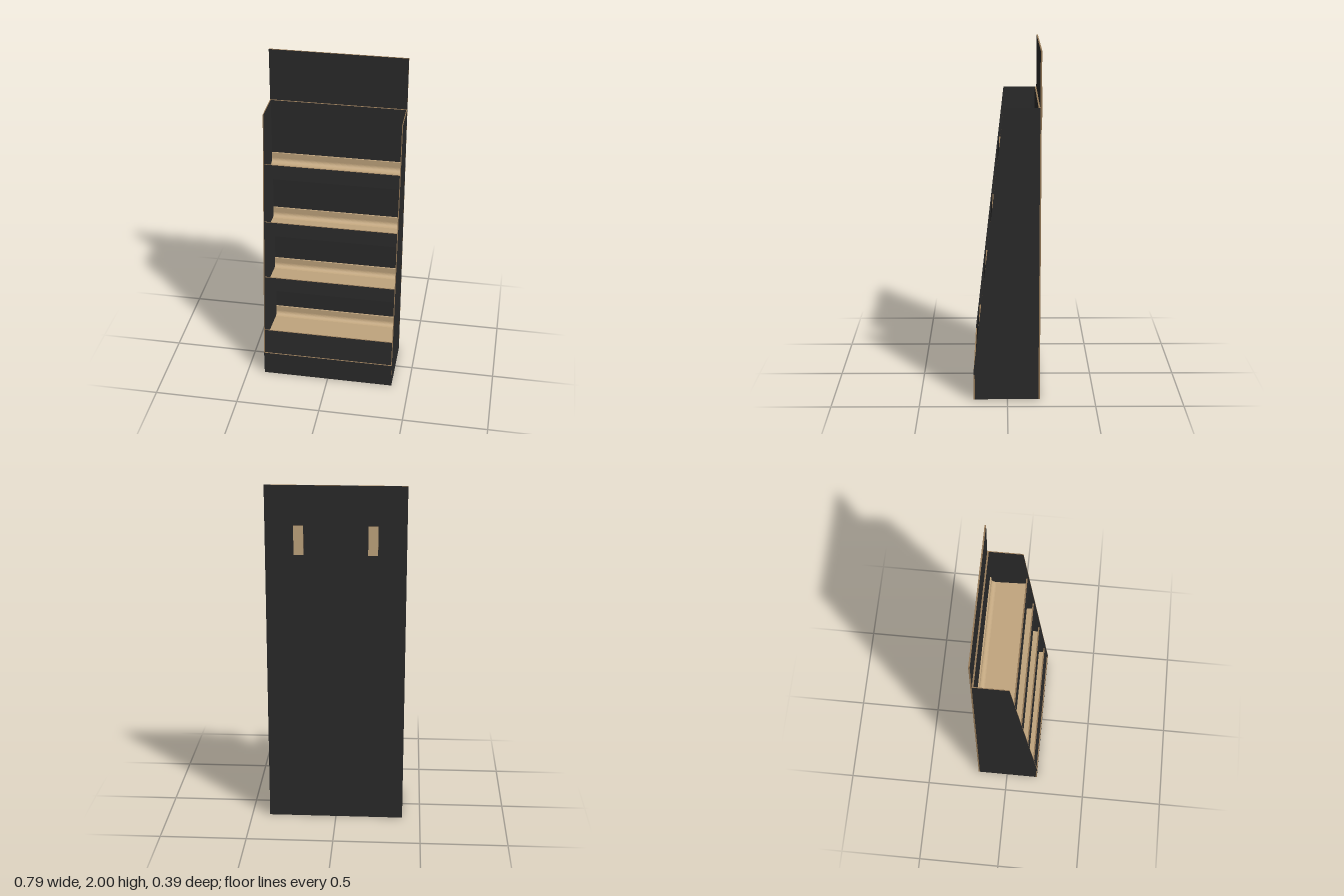
import * as THREE from 'three';

const mat = (name, color) => {
  const m = new THREE.MeshStandardMaterial({ color });
  m.name = name;
  return m;
};

export function createModel() {
  const black = mat('blackPrint', 0x2b2b2b);
  const kraft = mat('kraftBoard', 0xc4a880);
  const edge = mat('cutEdge', 0x967a58);
  const group = new THREE.Group();
  const inner = 0.39, outer = 0.395, t = 0.008;

  // Box given by min/max corners; faces ordered +x -x +y -y +z -z
  const panel = (name, a, b, materials) => {
    const g = new THREE.BoxGeometry(b[0] - a[0], b[1] - a[1], b[2] - a[2]);
    const m = new THREE.Mesh(g, materials);
    m.name = name;
    m.position.set((a[0] + b[0]) / 2, (a[1] + b[1]) / 2, (a[2] + b[2]) / 2);
    group.add(m);
    return m;
  };

  // Outline of [z, y] points extruded along x, starting at x0
  const extrudeX = (name, points, x0, width, materials) => {
    const shape = new THREE.Shape(points.map(([z, y]) => new THREE.Vector2(-z, y)));
    const g = new THREE.ExtrudeGeometry(shape, { depth: width, bevelEnabled: false });
    g.rotateY(Math.PI / 2).translate(x0, 0, 0);
    const m = new THREE.Mesh(g, materials);
    m.name = name;
    group.add(m);
  };

  // Sloping front line of the side walls
  const slope = 0.175 / 1.53;
  const frontZ = (y) => 0.02 + (1.69 - y) * slope;

  // Back board with header, and the inner lining below the header
  const sheet = [edge, edge, edge, edge, black, black];
  panel('backBoard', [-outer, 0, -0.186], [outer, 2, -0.178], sheet);
  panel('backLining', [-inner, 0, -0.178], [inner, 1.69, -0.169], [edge, edge, edge, edge, black, kraft]);

  // Side walls
  const sideOutline = [[-0.178, 0], [0.187, 0], [0.187, 0.15], [0.195, 0.15],
    [0.195, 0.16], [0.02, 1.69], [-0.178, 1.69]];
  extrudeX('leftWall', sideOutline, inner, outer - inner, [black, edge]);
  extrudeX('rightWall', sideOutline, -outer, outer - inner, [black, edge]);

  // Kick panel across the foot
  panel('kickPanel', [-outer, 0, 0.187], [outer, 0.15, 0.195], [edge, edge, edge, edge, black, kraft]);

  // Shelves: leaning front lip, tray tilting to the back, curled rear flange
  const shelves = [
    { bottom: 0.15, front: 0.22, back: 0.185, top: 0.305 },
    { bottom: 0.58, front: 0.58, back: 0.55, top: 0.665 },
    { bottom: 0.94, front: 0.94, back: 0.914, top: 1.025 },
    { bottom: 1.30, front: 1.30, back: 1.287, top: 1.385 },
  ];
  shelves.forEach(({ bottom, front, back, top }, i) => {
    const angle = Math.atan(slope);
    const mid = (bottom + top) / 2;
    const lip = new THREE.Mesh(
      new THREE.BoxGeometry(2 * inner, (top - bottom) / Math.cos(angle), t),
      [edge, edge, edge, edge, black, kraft]);
    lip.name = 'shelfLip' + (i + 1);
    lip.position.set(0, mid, frontZ(mid) - 0.008 - t / 2);
    lip.rotation.x = -angle;
    group.add(lip);

    // Tray section: underside front to back, up the curl, then back along the top
    const zFront = frontZ(front) - 0.008 - t, zBack = -0.168, r = 0.035;
    const under = [[zFront, front]], upper = [[zFront, front + t]];
    for (let k = 0; k <= 8; k++) {
      const a = (k / 8) * Math.PI / 2;
      const s = Math.sin(a), c = Math.cos(a);
      under.push([zBack + r - r * s, back + r - r * c]);
      upper.push([zBack + r - (r - t) * s, back + r - (r - t) * c]);
    }
    under.push([zBack, back + 0.068]);
    upper.push([zBack + t, back + 0.068]);
    extrudeX('shelfTray' + (i + 1), [...under, ...upper.reverse()], -inner, 2 * inner, [edge, kraft]);
  });

  // Hanging tabs on the back
  for (const s of [-1, 1]) {
    const x = s * 0.2075;
    panel(s > 0 ? 'leftHangTab' : 'rightHangTab',
      [x - 0.0275, 1.61, -0.195], [x + 0.0275, 1.775, -0.186],
      [edge, edge, edge, edge, kraft, kraft]);
  }
  return group;
}
